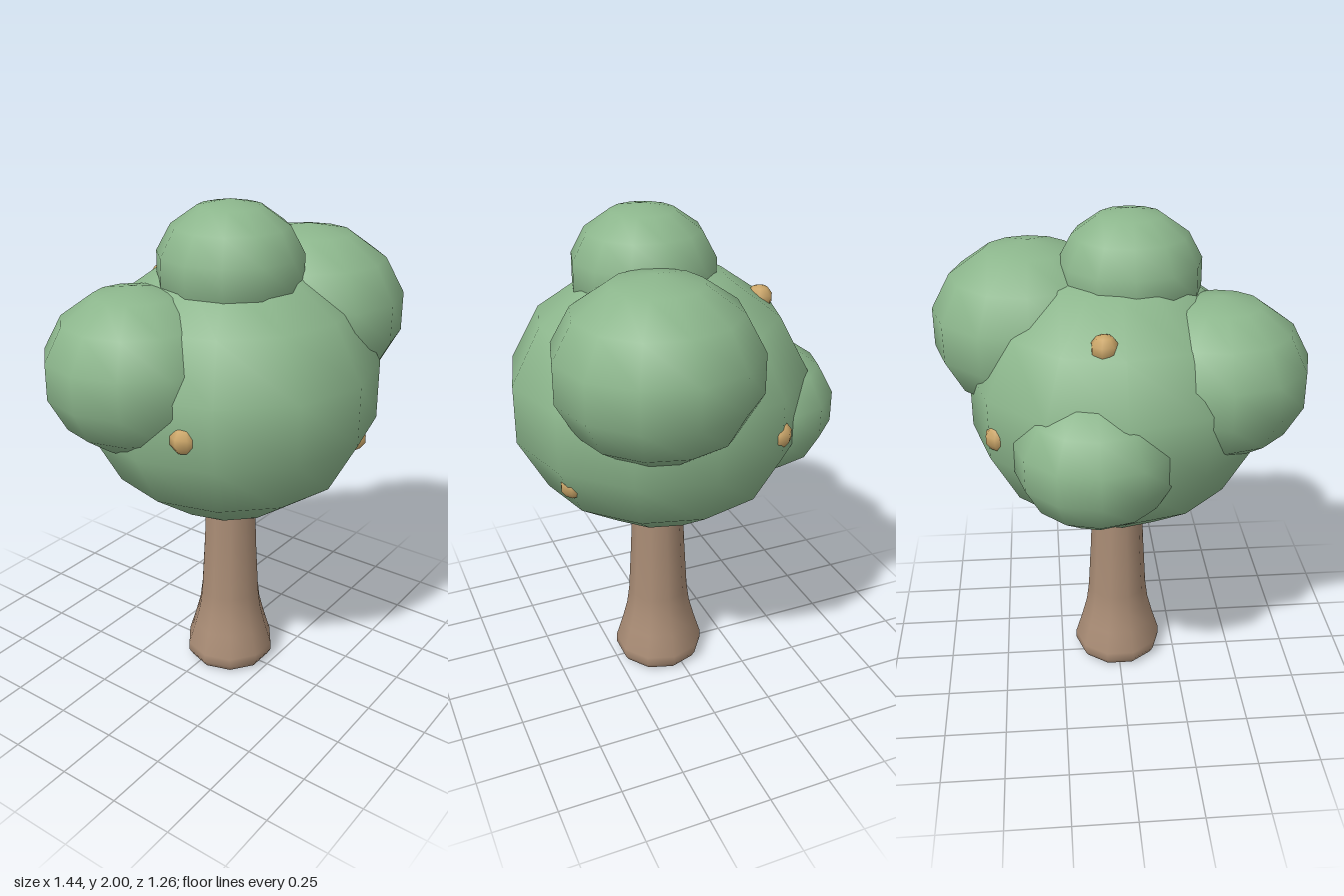
import * as THREE from 'three';

const leafGreen = new THREE.MeshStandardMaterial({ name: 'leafGreen', color: 0x8cb68c });
const barkBrown = new THREE.MeshStandardMaterial({ name: 'barkBrown', color: 0xa98c75 });
const fruitGold = new THREE.MeshStandardMaterial({ name: 'fruitGold', color: 0xcaa568 });

export function createModel() {
  const tree = new THREE.Group();
  tree.name = 'tree';

  // Flared trunk, ten-sided, running up into the crown
  const profile = [
    [0, 0], [0.15, 0], [0.172, 0.008], [0.188, 0.035], [0.187, 0.07], [0.158, 0.165],
    [0.136, 0.25], [0.126, 0.33], [0.114, 0.55], [0.105, 0.78], [0.1, 1], [0, 1],
  ].map(([r, y]) => new THREE.Vector2(r, y));
  const trunk = new THREE.Mesh(new THREE.LatheGeometry(profile, 10), barkBrown);
  trunk.name = 'trunk';
  trunk.rotation.y = Math.PI / 2;
  trunk.position.z = 0.05;
  tree.add(trunk);

  // Slightly flattened foliage clumps: centre, horizontal radius, vertical radius
  const crown = new THREE.Group();
  crown.name = 'crown';
  tree.add(crown);
  const clumpShape = new THREE.SphereGeometry(1, 12, 7);
  const clumps = [
    ['mainFoliage', 0, 1.265, 0.045, 0.595, 0.53],
    ['leftFoliage', 0.335, 1.517, 0.18, 0.392, 0.343],
    ['rightFoliage', -0.375, 1.402, -0.112, 0.354, 0.317],
    ['topFoliage', -0.052, 1.75, 0.08, 0.283, 0.25],
    ['backFoliage', 0.105, 1.195, -0.328, 0.315, 0.277],
  ];
  for (const [name, x, y, z, r, h] of clumps) {
    const clump = new THREE.Mesh(clumpShape, leafGreen);
    clump.name = name;
    clump.position.set(x, y, z);
    clump.scale.set(r, h, r);
    crown.add(clump);
  }

  // Small fruits half sunk in the foliage
  const fruitShape = new THREE.SphereGeometry(0.052, 7, 5);
  const fruits = [
    [0.075, 1.622, -0.348], [0.468, 1.235, -0.245],
    [-0.515, 1.25, 0.215], [0.238, 1.06, 0.48],
  ];
  for (const [x, y, z] of fruits) {
    const fruit = new THREE.Mesh(fruitShape, fruitGold);
    fruit.name = 'fruit';
    fruit.position.set(x, y, z);
    tree.add(fruit);
  }

  return tree;
}
